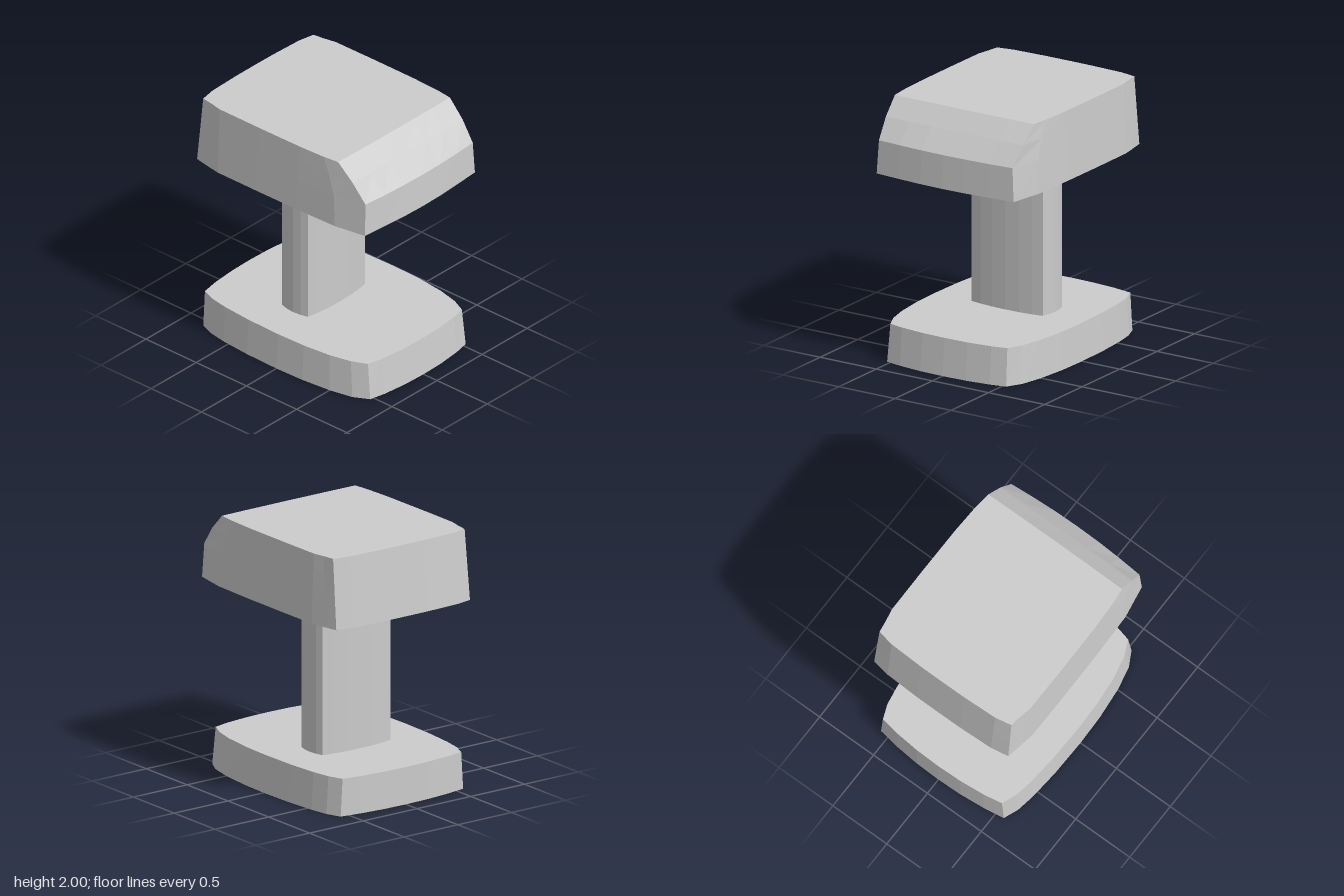
import * as THREE from 'three';

// Mirror a half outline (front centre -> +x side -> back centre) into a closed ring.
function ring(y, half) {
  const other = half.slice(1, -1).reverse().map(([x, z]) => [-x, z]);
  return [...half, ...other].map(([x, z]) => [x, y, z]);
}

// Skin a stack of equal-length rings and close both ends.
function loft(name, rings) {
  const pos = [];
  const tri = (a, b, c) => pos.push(...a, ...b, ...c);
  const n = rings[0].length;
  const top = rings[rings.length - 1];
  const bottom = rings[0];
  const topMid = [0, top[0][1], 0];
  const bottomMid = [0, bottom[0][1], 0];
  if (name === 'stem') topMid[2] = bottomMid[2] = -0.13;
  for (let i = 0; i < n; i++) {
    const j = (i + 1) % n;
    for (let k = 0; k + 1 < rings.length; k++) {
      const a = rings[k], b = rings[k + 1];
      tri(a[i], a[j], b[j]);
      tri(a[i], b[j], b[i]);
    }
    tri(topMid, top[i], top[j]);
    tri(bottomMid, bottom[j], bottom[i]);
  }
  const geometry = new THREE.BufferGeometry();
  geometry.setAttribute('position', new THREE.Float32BufferAttribute(pos, 3));
  geometry.computeVertexNormals();
  const mesh = new THREE.Mesh(geometry, new THREE.MeshStandardMaterial({ color: 0xcccccc, flatShading: true }));
  mesh.name = name;
  return mesh;
}

// One level of the head: front edge, then tapered side and back.
function headRing(y, front, sideZ) {
  const t = (y - 1.46) / 0.54;
  const inX = 0.02 * t, inZ = 0.052 * t;
  return ring(y, [
    ...front,
    [0.655 - inX, sideZ], [0.665 - inX, 0.2], [0.667 - inX, -0.2], [0.665 - inX, -0.585],
    [0.645 - inX, -0.71 + inZ / 2], [0.622 - inX / 2, -0.83 + inZ],
    [0.48, -0.855 + inZ], [0.2, -0.865 + inZ], [0, -0.866 + inZ],
  ]);
}

export function createModel() {
  const group = new THREE.Group();
  group.name = 'pedestalKnob';

  // Base plate with bowed sides, narrowing slightly upwards
  const base = (y, dx, dz) => ring(y, [
    [0, 0.866 - dz], [0.2, 0.86 - dz], [0.4, 0.838 - dz], [0.53 - dx / 2, 0.81 - dz],
    [0.595 - dx, 0.69 - dz], [0.635 - dx, 0.5 - dz / 2], [0.66 - dx, 0.25], [0.667 - dx, 0],
    [0.66 - dx, -0.3], [0.64 - dx, -0.55], [0.615 - dx, -0.7], [0.57 - dx, -0.815],
    [0.4, -0.842], [0.2, -0.86], [0, -0.865],
  ]);
  group.add(loft('base', [base(0, 0, 0), base(0.29, 0.018, 0.03)]));

  // Upright stem with bulging faces
  const stem = [
    [0, 0.03], [0.12, 0.026], [0.23, 0.015], [0.317, 0],
    [0.333, -0.06], [0.34, -0.13], [0.333, -0.2], [0.315, -0.26],
    [0.23, -0.275], [0.12, -0.287], [0, -0.29],
  ];
  group.add(loft('stem', [ring(0.28, stem), ring(1.47, stem)]));

  // Head with a sloping front
  group.add(loft('head', [
    headRing(1.46, [[0, 0.865], [0.2, 0.86], [0.4, 0.847], [0.61, 0.83]], 0.57),
    headRing(1.72, [[0, 0.85], [0.2, 0.847], [0.4, 0.837], [0.595, 0.822]], 0.55),
    headRing(1.87, [[0, 0.71], [0.2, 0.71], [0.4, 0.71], [0.61, 0.707]], 0.5),
    headRing(2, [[0, 0.577], [0.2, 0.576], [0.4, 0.575], [0.62, 0.572]], 0.44),
  ]));

  return group;
}
